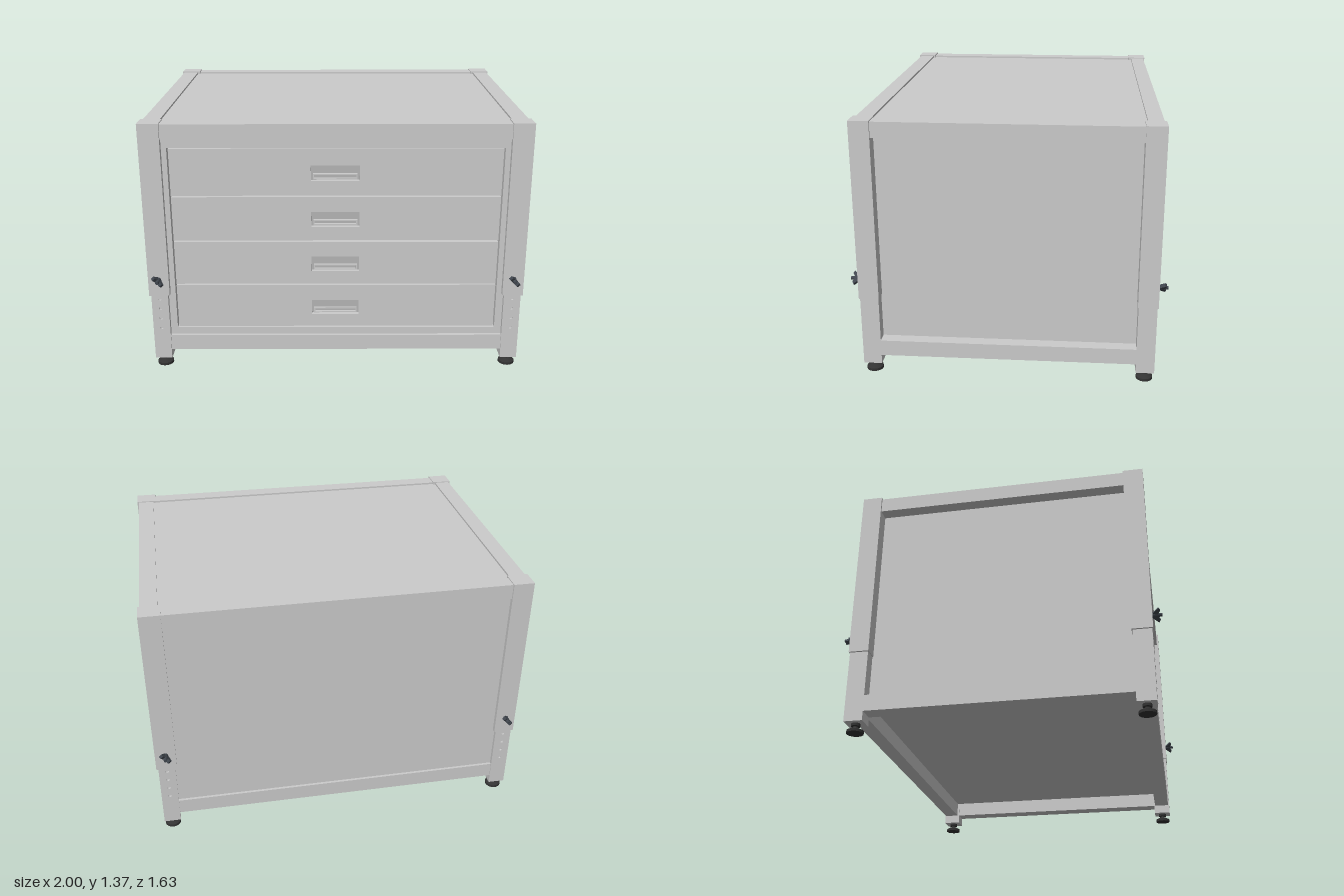
import * as THREE from 'three';

const grey = new THREE.MeshStandardMaterial({ color: 0xcccccc });
const rubber = new THREE.MeshStandardMaterial({ color: 0x333333 });
const steel = new THREE.MeshStandardMaterial({ color: 0x40464e });

function add(parent, name, geometry, material = grey) {
  const mesh = new THREE.Mesh(geometry, material);
  mesh.name = name;
  parent.add(mesh);
  return mesh;
}

// Box given by its minimum and maximum corners
function box(parent, name, [x0, y0, z0], [x1, y1, z1]) {
  const g = new THREE.BoxGeometry(x1 - x0, y1 - y0, z1 - z0);
  g.translate((x0 + x1) / 2, (y0 + y1) / 2, (z0 + z1) / 2);
  return add(parent, name, g);
}

function rect(x0, y0, x1, y1, Type = THREE.Shape) {
  return new Type([[x0, y0], [x1, y0], [x1, y1], [x0, y1]].map(p => new THREE.Vector2(...p)));
}

// Flat plate with holes, standing between z0 and z1
function plate(shape, z0, z1) {
  return new THREE.ExtrudeGeometry(shape, { depth: z1 - z0, bevelEnabled: false, curveSegments: 8 })
    .translate(0, 0, z0);
}

// Wing screw pointing along +z
function makeWingScrew() {
  const screw = new THREE.Group();
  screw.name = 'wingScrew';
  add(screw, 'screwHub', new THREE.CylinderGeometry(0.008, 0.015, 0.05, 12)
    .rotateX(Math.PI / 2).translate(0, 0, 0.023), steel);
  const outline = [[-0.011, 0], [0.011, 0], [0.036, 0.03], [0.024, 0.038], [0, 0.024], [-0.024, 0.038], [-0.036, 0.03]];
  const wings = new THREE.Shape(outline.map(p => new THREE.Vector2(...p)));
  add(screw, 'screwWings', plate(wings, -0.01, 0.01).rotateX(Math.PI / 2).rotateZ(-Math.PI / 4), steel);
  return screw;
}

// Telescoping corner leg with adjustment holes, wing screw and levelling foot
function makeLeg(sx, sz) {
  const leg = new THREE.Group();
  leg.name = 'cornerLeg';
  box(leg, 'upperSleeve', [-0.055, 0.427, -0.052], [0.055, 1.37, 0.052]);

  // Lower post: solid core with a drilled plate on its outer face
  box(leg, 'lowerPost', [-0.045, 0.051, -0.038], [0.045, 0.5, 0.038]);
  const drilled = rect(-0.045, 0.051, 0.045, 0.5);
  for (const y of [0.235, 0.292, 0.349, 0.406]) {
    const hole = new THREE.Path();
    hole.absarc(0, y, 0.009, 0, Math.PI * 2, true);
    drilled.holes.push(hole);
  }
  add(leg, 'drilledFace', plate(drilled, 0.038, 0.048)).rotation.y = sz > 0 ? 0 : Math.PI;
  box(leg, 'innerFace', [-0.045, 0.051, -0.043 - sz * 0.005], [0.045, 0.5, 0.043 - sz * 0.005]).scale.z = 0.999;

  const profile = [[0, 0], [0.043, 0], [0.043, 0.014], [0.02, 0.027], [0.012, 0.029], [0.012, 0.036], [0.023, 0.037], [0.023, 0.052], [0, 0.052]];
  for (let i = 0; i < profile.length - 1; i++) {
    const segment = [profile[i], profile[i + 1]].map(p => new THREE.Vector2(...p));
    add(leg, 'levellingFoot', new THREE.LatheGeometry(segment, 24), rubber);
  }

  const screw = makeWingScrew();
  screw.position.set(0, 0.52, sz * 0.052);
  if (sz < 0) screw.rotation.y = Math.PI;
  leg.add(screw);
  leg.position.set(sx * 0.945, 0, sz * 0.715);
  return leg;
}

// Drawer front with a shallow sloping finger pull
function makeDrawer(y0, y1, pullY) {
  const drawer = new THREE.Group();
  drawer.name = 'drawer';
  const front = rect(-0.856, y0, 0.856, y1);
  front.holes.push(rect(-0.13, pullY, 0.122, pullY + 0.084, THREE.Path));
  add(drawer, 'drawerFront', plate(front, 0.685, 0.734));

  // Back of the pull, deepest at its lower edge
  const slope = new THREE.Shape([[0.73, 0.084], [0.686, 0.084], [0.686, 0], [0.712, 0]]
    .map(([z, y]) => new THREE.Vector2(z, pullY + y)));
  add(drawer, 'pullRecess', plate(slope, -0.122, 0.13).rotateY(-Math.PI / 2));

  // Slotted lip near the lower edge
  const lip = rect(-0.119, pullY + 0.008, 0.111, pullY + 0.038);
  lip.holes.push(rect(-0.113, pullY + 0.014, 0.105, pullY + 0.031, THREE.Path));
  add(drawer, 'pullLip', plate(lip, 0.705, 0.731));
  return drawer;
}

export function createModel() {
  const model = new THREE.Group();
  model.name = 'drawerCabinet';

  for (const sx of [-1, 1]) for (const sz of [-1, 1]) model.add(makeLeg(sx, sz));

  // Rails between the legs, at the bottom and at the top
  for (const [level, y0, y1] of [['bottom', 0.1, 0.185], ['top', 1.285, 1.365]]) {
    for (const s of [-1, 1]) {
      const [x0, x1] = s < 0 ? [-0.99, -0.903] : [0.903, 0.99];
      const [z0, z1] = s < 0 ? [-0.758, -0.678] : [0.672, 0.756];
      box(model, level + 'SideRail', [x0, y0, -0.69], [x1, y1, 0.69]);
      box(model, level + 'CrossRail', [-0.92, y0, z0], [0.92, y1, z1]);
    }
  }

  // Cabinet body and recessed top panel
  box(model, 'cabinetBody', [-0.925, 0.182, -0.744], [0.925, 1.29, 0.685]);
  box(model, 'topPanel', [-0.905, 1.28, -0.68], [0.905, 1.355, 0.675]);

  // Front surround
  const surround = rect(-0.925, 0.182, 0.925, 1.29);
  surround.holes.push(rect(-0.863, 0.224, 0.863, 1.237, THREE.Path));
  add(model, 'frontSurround', plate(surround, 0.685, 0.738));

  // Four drawers
  const bounds = [[0.23, 0.474], [0.482, 0.722], [0.732, 0.972], [0.98, 1.232]];
  bounds.forEach(([y0, y1], i) => model.add(makeDrawer(y0, y1, 0.302 + i * 0.2525)));

  return model;
}
